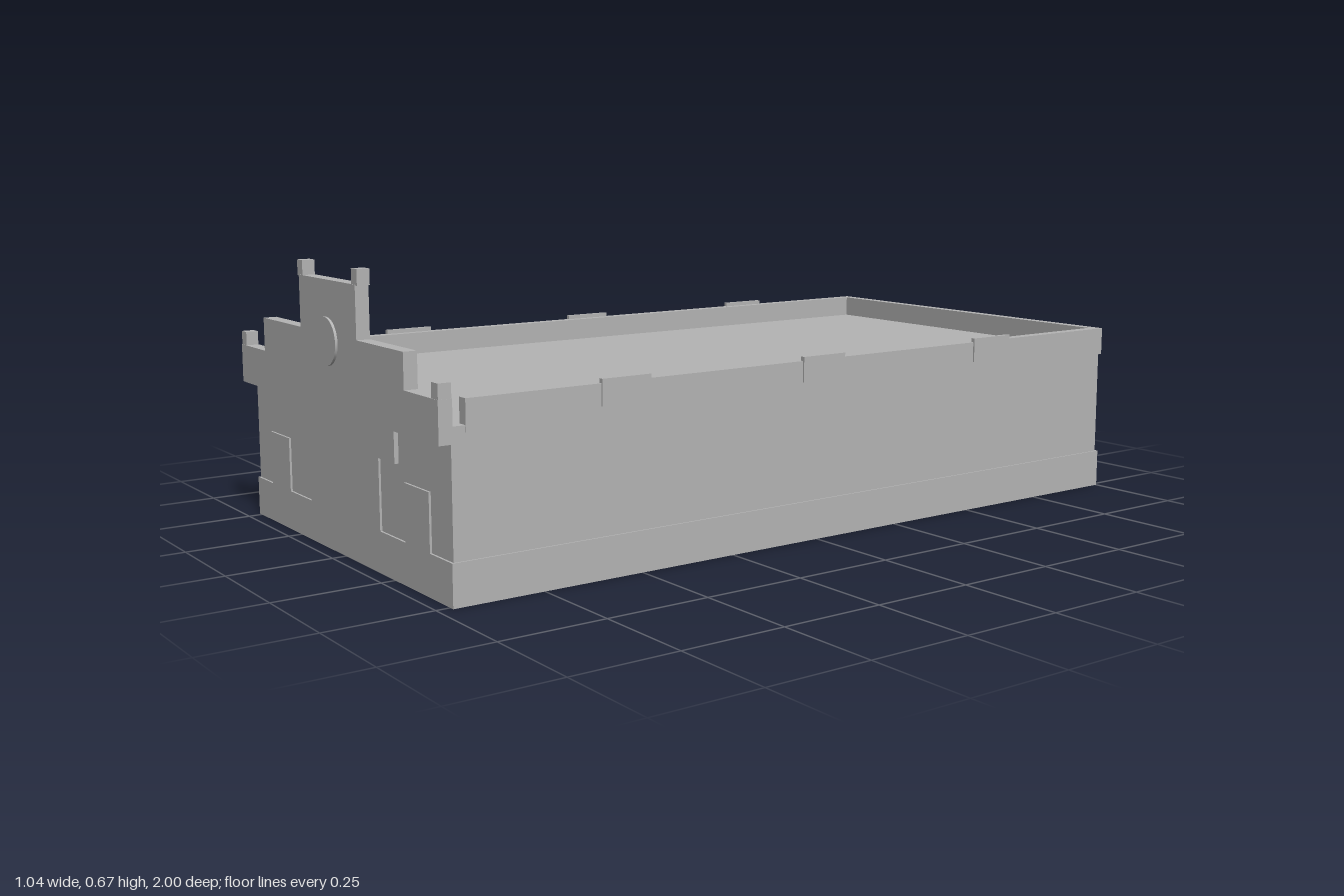
import * as THREE from 'three';

export function createModel() {
  const group = new THREE.Group();
  const stone = new THREE.MeshStandardMaterial({ color: 0xb4b4b4 });
  stone.name = 'pale grey';

  const add = (name, geometry) => {
    const mesh = new THREE.Mesh(geometry, stone);
    mesh.name = name;
    group.add(mesh);
    return mesh;
  };
  // Box given by its limits on each axis
  const box = (name, x0, x1, y0, y1, z0, z1) => {
    const g = new THREE.BoxGeometry(x1 - x0, y1 - y0, z1 - z0);
    g.translate((x0 + x1) / 2, (y0 + y1) / 2, (z0 + z1) / 2);
    return add(name, g);
  };

  // Hall: plinth, slightly recessed walls, and roof slab
  box('plinth', -0.513, 0.513, 0, 0.095, -1, 0.967);
  box('walls', -0.509, 0.509, 0.095, 0.36, -0.993, 0.962);
  box('roof', -0.511, 0.511, 0.36, 0.375, -0.998, 0.964);

  // Parapets round the flat roof
  box('backParapet', -0.487, 0.487, 0.36, 0.43, -1, -0.975);
  for (const s of [-1, 1]) {
    const a = s * 0.487, b = s * 0.513;
    box('sideParapet', Math.min(a, b), Math.max(a, b), 0.36, 0.43, -1, 0.93);
    // Raised panels along the side parapet
    for (const z of [0.542, -0.015, -0.573]) {
      const c = s * 0.506, d = s * 0.517;
      box('parapetPanel', Math.min(c, d), Math.max(c, d), 0.38, 0.44, z - 0.063, z + 0.063);
    }
  }

  // Stepped front gable
  const half = [[0.518, 0.34], [0.518, 0.433], [0.37, 0.433], [0.37, 0.513], [0.149, 0.513], [0.149, 0.633]];
  const outline = [...half, ...half.map(([x, y]) => [-x, y]).reverse()];
  const gable = new THREE.ExtrudeGeometry(
    new THREE.Shape(outline.map(([x, y]) => new THREE.Vector2(x, y))),
    { depth: 0.032, bevelEnabled: false });
  gable.translate(0, 0, 0.962);
  add('frontGable', gable);

  // Finials on the gable steps
  for (const s of [-1, 1]) {
    for (const [x, y0, y1] of [[0.144, 0.631, 0.667], [0.503, 0.433, 0.466]]) {
      box('finial', s * x - 0.014, s * x + 0.014, y0, y1, 0.963, 0.993);
    }
  }

  // Round medallion
  const disc = new THREE.CylinderGeometry(0.055, 0.055, 0.008, 32);
  disc.rotateX(Math.PI / 2);
  disc.translate(-0.003, 0.495, 0.996);
  add('medallion', disc);

  // Front openings and sign
  box('entrance', -0.185, 0.183, 0.09, 0.34, 0.958, 0.967);
  box('leftFrontPanel', 0.305, 0.416, 0.09, 0.225, 0.958, 0.967);
  box('rightFrontPanel', -0.42, -0.308, 0.09, 0.225, 0.958, 0.967);
  box('sign', 0.172, 0.272, 0.26, 0.34, 0.96, 0.972);

  // Side door
  box('sideDoor', -0.517, -0.508, 0, 0.298, -0.63, -0.35);

  return group;
}
